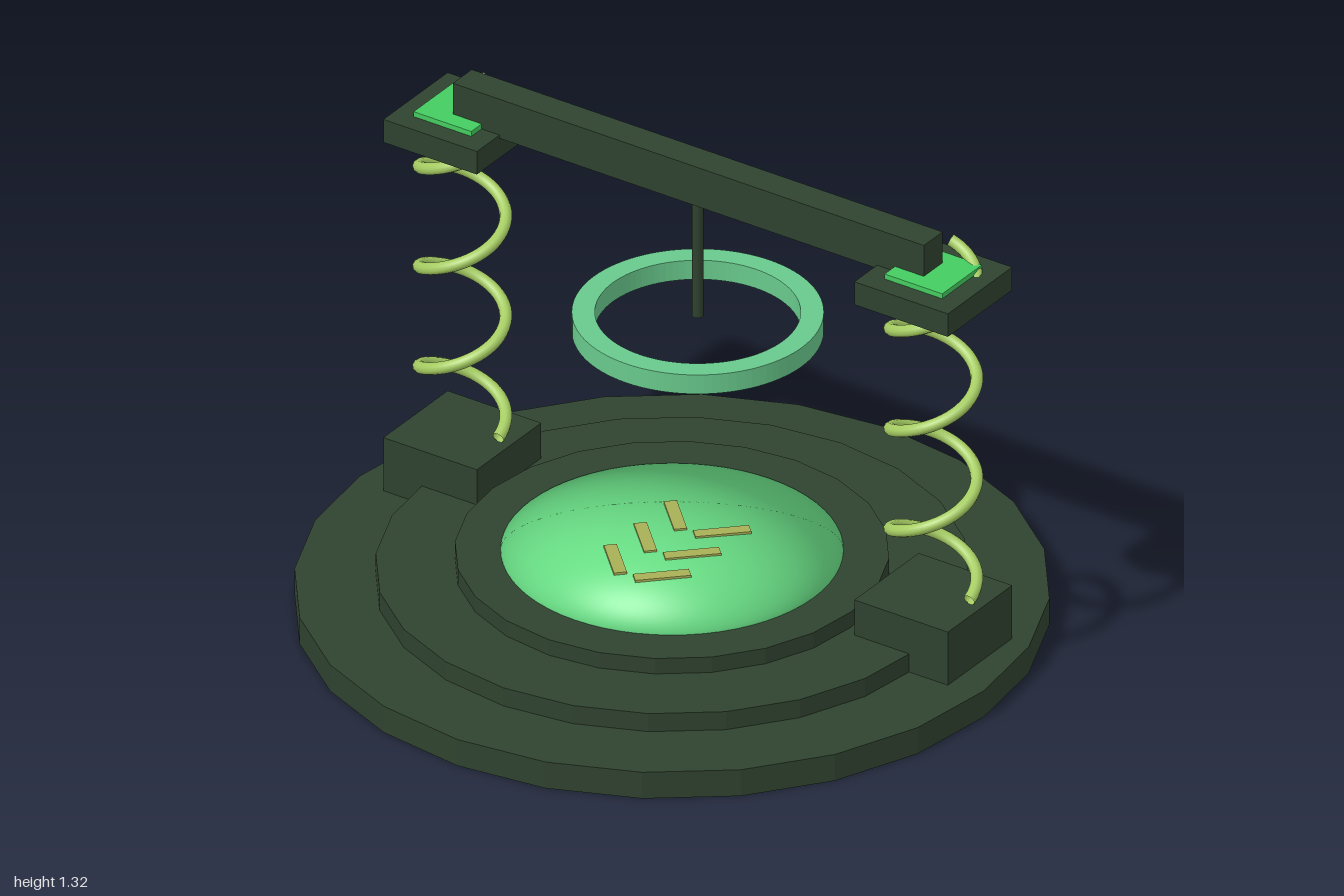
import * as THREE from 'three';

const mat = (name, color) => {
  const m = new THREE.MeshStandardMaterial({ color });
  m.name = name;
  return m;
};

export function createModel() {
  const group = new THREE.Group();
  const dark = mat('dark green', 0x2f422f);
  const ringGreen = mat('soft green', 0x68c98c);
  const dishGreen = mat('light green', 0x68dc84);
  const padGreen = mat('bright green', 0x45cc60);
  const springLime = mat('lime', 0xa5cc62);
  const markOlive = mat('olive yellow', 0xa8b055);

  const Z = -0.12; // depth of the frame above the base
  const add = (name, geometry, material, x = 0, y = 0, z = 0) => {
    const m = new THREE.Mesh(geometry, material);
    m.name = name;
    m.position.set(x, y, z);
    group.add(m);
    return m;
  };
  const box = (name, material, w, y0, y1, d, x, z) =>
    add(name, new THREE.BoxGeometry(w, y1 - y0, d), material, x, (y0 + y1) / 2, z);

  // Stepped round base
  [[1, 0, 0.08], [0.785, 0.08, 0.135], [0.575, 0.135, 0.182]].forEach(([r, y0, y1], i) => {
    const g = new THREE.CylinderGeometry(r, r, y1 - y0, 24).toNonIndexed();
    g.computeVertexNormals();
    add('baseTier' + (i + 1), g, dark, 0, (y0 + y1) / 2, 0);
  });

  // Dish: a dome pressed almost flat that keeps its rounded normals
  const dome = new THREE.SphereGeometry(0.453, 64, 24, 0, Math.PI * 2, 0, Math.PI / 2);
  const p = dome.attributes.position;
  for (let i = 0; i < p.count; i++) p.setY(i, p.getY(i) * 0.035);
  add('dish', dome, dishGreen, 0, 0.184, 0);

  // Three chevrons pointing to the front
  for (const z of [-0.125, 0.015, 0.155]) {
    for (const s of [-1, 1]) {
      const arm = box('chevronArm', markOlive, 0.15, 0.19, 0.205, 0.035, s * 0.075, z);
      arm.rotation.y = s * Math.PI / 4;
    }
  }

  // Coil spring path
  class Helix extends THREE.Curve {
    getPoint(t, target = new THREE.Vector3()) {
      const turns = 3.28 * t, a = turns * Math.PI * 2;
      return target.set(0.115 * Math.cos(a), 0.257 + 0.305 * turns, -0.115 * Math.sin(a));
    }
  }
  const coil = new THREE.TubeGeometry(new Helix(), 160, 0.017, 10);

  // Posts: foot, spring, top plate and pad on each side
  for (const [side, x] of [['left', 0.755], ['right', -0.755]]) {
    box(side + 'Foot', dark, 0.3, 0.06, 0.242, 0.3, x, Z);
    add(side + 'Spring', coil, springLime, x, 0, Z).material.side = THREE.DoubleSide;
    box(side + 'TopPlate', dark, 0.3, 1.143, 1.213, 0.3, x, Z);
    box(side + 'Pad', padGreen, 0.185, 1.21, 1.228, 0.185, x, Z);
  }

  // Cross beam with hanging rod
  box('beam', dark, 1.51, 1.203, 1.322, 0.088, 0, Z);
  add('rod', new THREE.CylinderGeometry(0.015, 0.015, 0.38, 16), dark, 0, 1.03, Z);

  // Hanging ring with a square section
  const outline = new THREE.Shape().absarc(0, 0, 0.333, 0, Math.PI * 2);
  outline.holes.push(new THREE.Path().absarc(0, 0, 0.272, 0, Math.PI * 2, true));
  const ring = new THREE.ExtrudeGeometry(outline, { depth: 0.058, bevelEnabled: false, curveSegments: 48 });
  ring.rotateX(-Math.PI / 2);
  add('ring', ring, ringGreen, 0, 0.793, Z);

  return group;
}
